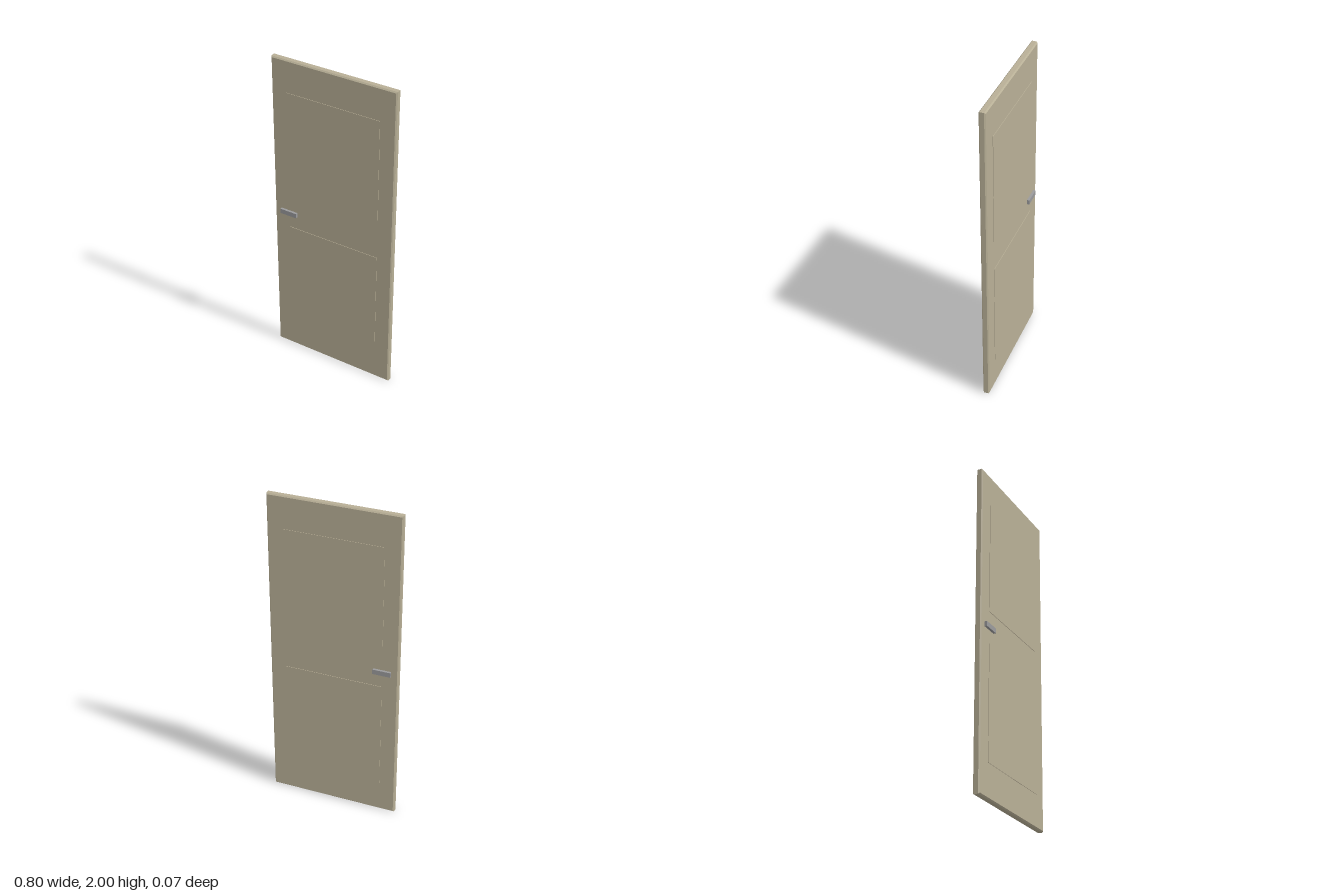
import * as THREE from 'three';

const WIDTH = 0.796, HEIGHT = 2, DEPTH = 0.04, BEVEL = 0.007;

function material(name, color) {
  const m = new THREE.MeshStandardMaterial({ color });
  m.name = name;
  return m;
}

function addBox(parent, name, size, position, mat) {
  const mesh = new THREE.Mesh(new THREE.BoxGeometry(...size), mat);
  mesh.name = name;
  mesh.position.set(...position);
  parent.add(mesh);
}

// Door leaf with every edge chamfered
function leafGeometry() {
  const w = WIDTH / 2 - BEVEL, h = HEIGHT / 2 - BEVEL;
  const outline = new THREE.Shape([
    new THREE.Vector2(-w, -h), new THREE.Vector2(w, -h),
    new THREE.Vector2(w, h), new THREE.Vector2(-w, h),
  ]);
  const geometry = new THREE.ExtrudeGeometry(outline, {
    depth: DEPTH - 2 * BEVEL, bevelEnabled: true,
    bevelSize: BEVEL, bevelThickness: BEVEL, bevelSegments: 1,
  });
  return geometry.center();
}

export function createModel() {
  const paint = material('door paint', 0xb8af96);
  const metal = material('handle metal', 0x9a9a9c);
  const door = new THREE.Group();
  door.name = 'door';

  const leaf = new THREE.Mesh(leafGeometry(), paint);
  leaf.name = 'doorLeaf';
  leaf.position.y = HEIGHT / 2;
  door.add(leaf);

  // Shallow raised panels and a lever handle on each face
  for (const [side, s] of [['front', 1], ['back', -1]]) {
    addBox(door, `${side}LowerPanel`, [0.6, 0.7, 0.004], [0, 0.55, s * 0.0208], paint);
    addBox(door, `${side}UpperPanel`, [0.6, 0.7, 0.004], [0, 1.45, s * 0.0208], paint);
    addBox(door, `${side}Handle`, [0.11, 0.03, 0.02], [-0.3, 1, s * 0.025], metal);
  }
  return door;
}
